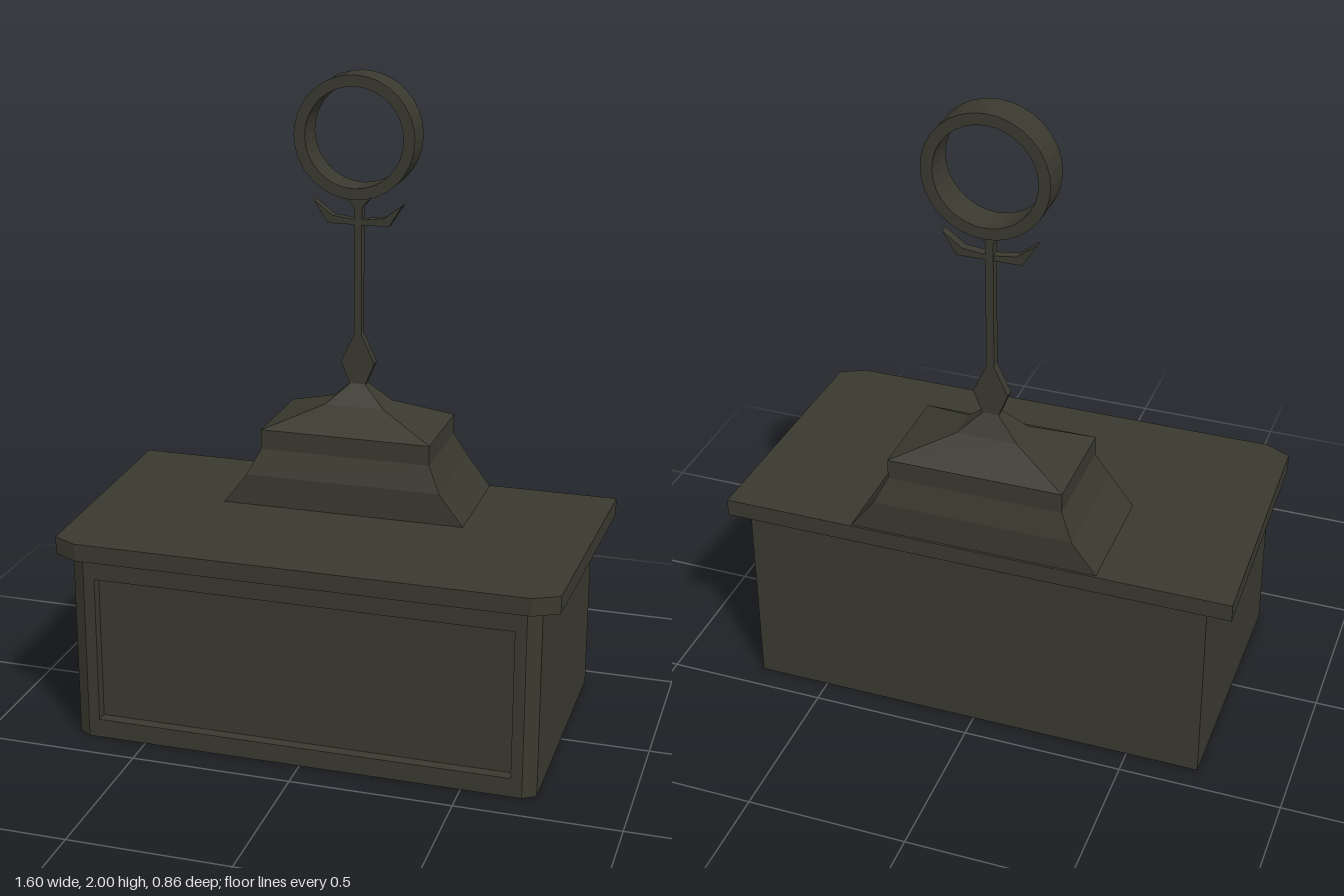
import * as THREE from 'three';

const metal = new THREE.MeshStandardMaterial({ color: 0x3a392f, flatShading: true });
metal.name = 'dark bronze';

const toShape = (pts) => new THREE.Shape(pts.map(([x, y]) => new THREE.Vector2(x, y)));
const flip = (pts) => pts.map(([x, y]) => [-x, y]).reverse();
const extrude = (shape, depth, curveSegments = 16) =>
  new THREE.ExtrudeGeometry(shape, { depth, bevelEnabled: false, curveSegments });

// Extrudes a plan outline of [x, z] points upwards from y0 to y1
function planExtrude(pts, y0, y1) {
  const g = extrude(toShape(pts.map(([x, z]) => [x, -z])), y1 - y0);
  return g.rotateX(-Math.PI / 2).translate(0, y0, 0);
}

// Joins rectangular sections [y, halfWidth, zFront, zBack] into a closed solid
function rectLoft(sections) {
  const pos = [];
  const rings = sections.map(([y, w, f, b]) => [[-w, y, f], [w, y, f], [w, y, b], [-w, y, b]]);
  const quad = (a, b, c, d) => pos.push(...a, ...b, ...c, ...a, ...c, ...d);
  for (let i = 0; i < rings.length - 1; i++) {
    for (let k = 0; k < 4; k++) {
      const n = (k + 1) % 4;
      quad(rings[i][k], rings[i][n], rings[i + 1][n], rings[i + 1][k]);
    }
  }
  const [a, b, c, d] = rings[0];
  quad(d, c, b, a);
  quad(...rings[rings.length - 1]);
  const g = new THREE.BufferGeometry();
  g.setAttribute('position', new THREE.Float32BufferAttribute(pos, 3));
  g.computeVertexNormals();
  return g;
}

export function createModel() {
  const model = new THREE.Group();
  const add = (name, geometry) => {
    const mesh = new THREE.Mesh(geometry, metal);
    mesh.name = name;
    model.add(mesh);
    return mesh;
  };

  // Pedestal body, with a frame in front that leaves a recessed panel
  const H = 0.595, panelZ = 0.365, frontZ = 0.4;
  add('pedestalBody', new THREE.BoxGeometry(1.45, H, panelZ + 0.425)
    .translate(0, H / 2, (panelZ - 0.425) / 2));
  const frame = toShape([[-0.685, 0], [0.685, 0], [0.685, H], [-0.685, H]]);
  frame.holes.push(toShape([[-0.65, 0.06], [-0.65, 0.53], [0.65, 0.53], [0.65, 0.06]]));
  add('panelFrame', extrude(frame, frontZ - panelZ).translate(0, 0, panelZ));

  // Chamfered front corners
  const corner = [[0.685, panelZ], [0.725, panelZ], [0.725, 0.375], [0.685, frontZ]];
  add('leftCorner', planExtrude(corner, 0, H));
  add('rightCorner', planExtrude(flip(corner), 0, H));

  // Overhanging top slab, slightly narrower at the front
  const slab = [[0.8, -0.43], [0.778, 0.385], [0.7, 0.425]];
  add('topSlab', planExtrude([...slab, ...flip(slab)], H, 0.65));

  // Stepped plinth
  add('plinth', rectLoft([
    [0.65, 0.388, -0.045, -0.423],
    [0.75, 0.312, -0.045, -0.423],
    [0.83, 0.272, -0.072, -0.396],
    [0.893, 0.272, -0.072, -0.396],
    [0.96, 0.095, -0.18, -0.285],
    [1.025, 0.024, -0.218, -0.248],
  ]));

  // Flat stem with a diamond knop and a flared top
  const midZ = -0.233, thick = 0.03;
  const stem = [[0.024, 1.02], [0.054, 1.095], [0.012, 1.185], [0.012, 1.59], [0.055, 1.636]];
  add('stem', extrude(toShape([...stem, ...flip(stem)]), thick)
    .translate(0, 0, midZ - thick / 2));

  // Crossbar with upturned tips
  const bar = [[0.02, 1.535], [0.098, 1.535], [0.142, 1.605], [0.082, 1.56], [0.02, 1.552]];
  const barThick = 0.028;
  add('crossbar', extrude(toShape([...bar, ...flip(bar)]), barThick)
    .translate(0, 0, midZ - barThick / 2));

  // Wide ring
  const ring = new THREE.Shape().absarc(0, 0, 0.19, 0, Math.PI * 2, false);
  ring.holes.push(new THREE.Path().absarc(0, 0, 0.155, 0, Math.PI * 2, true));
  add('ring', extrude(ring, 0.106).translate(-0.003, 1.81, midZ - 0.053));

  return model;
}
